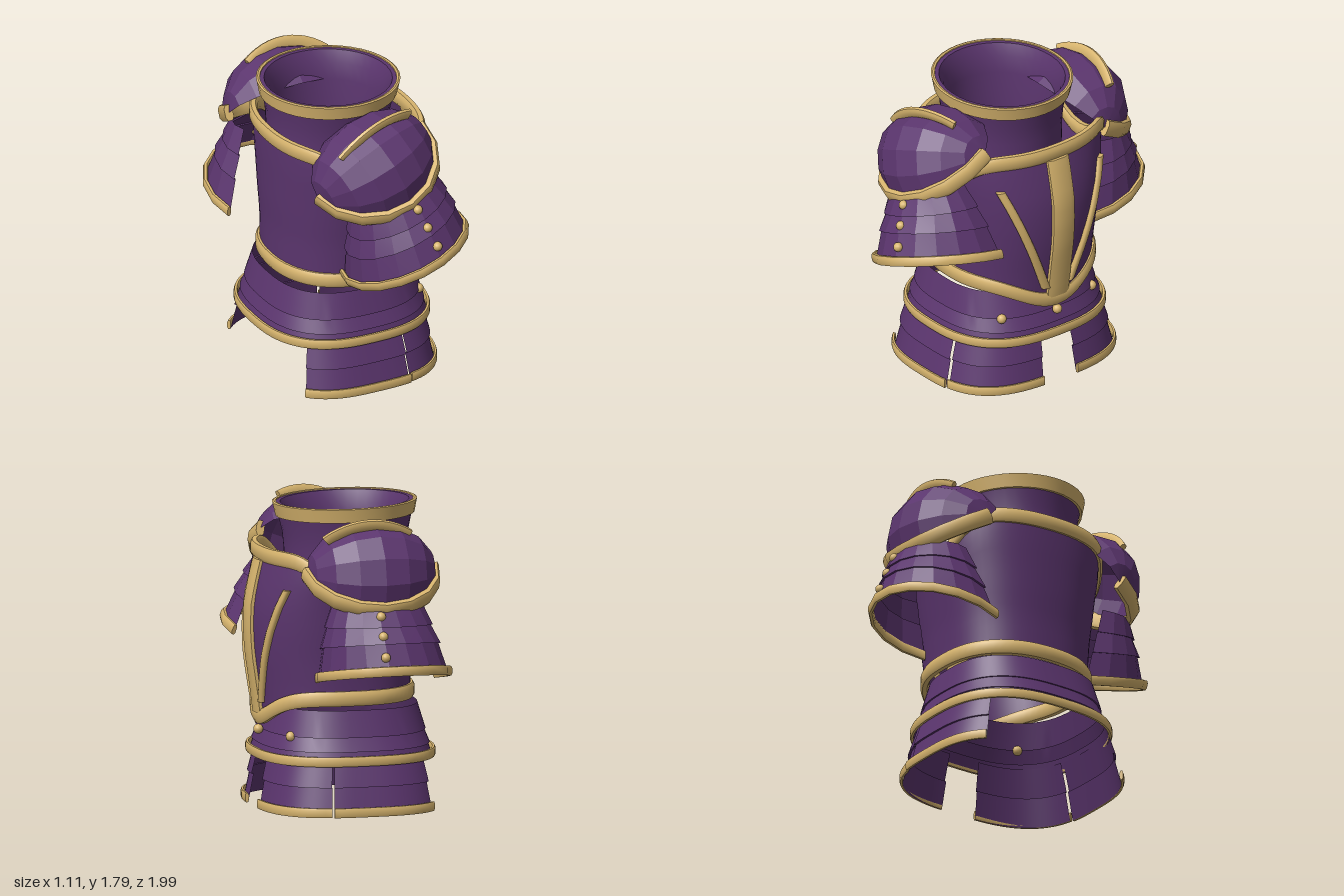
import * as THREE from 'three';
import { toCreasedNormals } from 'three/addons/utils/BufferGeometryUtils.js';

const { sin, cos, PI, abs, sign, min, max, asin } = Math;
const V = (x, y, z) => new THREE.Vector3(x, y, z);
const rad = THREE.MathUtils.degToRad;
const soft = (v, e) => sign(v) * abs(v) ** e;

export function createModel() {
  const purple = new THREE.MeshStandardMaterial({ color: 0x5b356e, side: THREE.DoubleSide });
  purple.name = 'purple plate';
  const gold = new THREE.MeshStandardMaterial({ color: 0xd8b56e, side: THREE.DoubleSide });
  gold.name = 'gold trim';
  const root = new THREE.Group();
  root.name = 'armour';

  const add = (parent, name, geometry, material) => {
    const mesh = new THREE.Mesh(geometry, material);
    mesh.name = name;
    parent.add(mesh);
    return mesh;
  };

  // Surface over an nu x nv grid, f(i, j) gives each corner
  function grid(f, nu, nv, crease = 0.6) {
    const pos = [], index = [];
    for (let i = 0; i <= nu; i++) for (let j = 0; j <= nv; j++) pos.push(...f(i, j).toArray());
    for (let i = 0; i < nu; i++) for (let j = 0; j < nv; j++) {
      const a = i * (nv + 1) + j, b = a + nv + 1;
      index.push(a, a + 1, b, b, a + 1, b + 1);
    }
    const g = new THREE.BufferGeometry();
    g.setAttribute('position', new THREE.Float32BufferAttribute(pos, 3));
    g.setIndex(index);
    return toCreasedNormals(g, crease);
  }

  // Rounded bar swept along path(t), with half sizes hn along normal(t) and hu along up
  function band(path, normal, up, hn, hu, seg, closed = false) {
    const n = closed ? seg : seg + 2;
    return grid((i, j) => {
      const t = closed ? i / seg : min(1, max(0, (i - 1) / seg));
      const p = path(t);
      if (!closed && (i === 0 || i === n)) return p;
      const a = (j % 8) / 8 * 2 * PI + PI / 8;
      return p.addScaledVector(normal(t), hn * soft(cos(a), 0.7)).addScaledVector(up, hu * soft(sin(a), 0.7));
    }, n, 8, 0.9);
  }

  // Point on an oval ring; row = [y, a, b, centre x, tilt, centre z], s = side of z, e < 1 squares it off
  const ring = ([y, a, b, cx = 0, tilt = 0, cz = 0], th, s, e) =>
    V(cx + a * soft(cos(th), e), y + tilt * sin(th), s * (cz + b * soft(sin(th), e)));
  const shell = (rows, from, to, seg, s = 1, e = 1, crease = 0.3) =>
    grid((i, j) => ring(rows[j], from + (to - from) * i / seg, s, e), seg, rows.length - 1, crease);
  const ringBand = (row, from, to, seg, hn, hu, s = 1, e = 1, closed = false) => {
    const at = t => from + (to - from) * t;
    return band(t => ring(row, at(t), s, e), t => V(cos(at(t)), 0, s * sin(at(t))),
      V(0, 1, 0), hn, hu, seg, closed);
  };
  const rivets = (parent, points, r) => points.forEach(p =>
    add(parent, 'rivet', new THREE.SphereGeometry(r, 12, 8), gold).position.set(...p));

  // Collar with a flared gold rim, leaning slightly forward
  const collar = new THREE.Group();
  collar.name = 'collar';
  collar.position.x = -0.092;
  collar.rotation.z = -0.024;
  root.add(collar);
  const lathe = pts => toCreasedNormals(
    new THREE.LatheGeometry(pts.map(p => new THREE.Vector2(...p)), 40), 0.6).scale(1, 1, 0.965);
  add(collar, 'collarTube', lathe([[0.33, 1.3], [0.36, 1.3], [0.36, 1.5], [0.368, 1.6], [0.39, 1.7],
    [0.405, 1.772], [0.375, 1.772], [0.345, 1.7], [0.33, 1.6], [0.33, 1.3]]), purple);
  add(collar, 'collarRim', lathe([[0.39, 1.695], [0.405, 1.695], [0.422, 1.775], [0.412, 1.78],
    [0.4, 1.778], [0.385, 1.7]]), gold);

  // Cuirass: rows of [y, back x, front x, half width]
  const sections = [[0.5, -0.42, 0.46, 0.45], [0.7, -0.42, 0.485, 0.45], [0.9, -0.42, 0.515, 0.465],
    [1.05, -0.43, 0.525, 0.485], [1.2, -0.435, 0.52, 0.505], [1.35, -0.44, 0.49, 0.53], [1.55, -0.44, 0.44, 0.535]];
  const section = y => {
    const k = max(0, min(sections.length - 2, sections.findIndex(r => r[0] > y) - 1));
    const [p, q] = [sections[k], sections[k + 1]];
    return p.map((v, i) => v + (q[i] - v) * (y - p[0]) / (q[0] - p[0]));
  };
  const chest = (th, y) => {
    const [, back, front, b] = section(y), c = cos(th), cx = 0.03;
    return V(c > 0 ? cx + (front - cx) * c ** 0.85 : cx - (cx - back) * abs(c) ** 0.8, y, b * soft(sin(th), 0.9));
  };
  const side = th => abs(sin(th)) ** 0.9;
  const topY = th => 1.492 - 0.008 * cos(th) - 0.22 * side(th) ** 10;
  const hemY = th => cos(th) < 0 ? 0.675 : 0.675 - 0.075 * (1 + cos(PI * side(th)));
  add(root, 'cuirass', grid((i, j) => {
    const th = i / 64 * 2 * PI;
    return chest(th, hemY(th) + (topY(th) - hemY(th)) * j / 12);
  }, 64, 12), purple);
  const out = t => V(cos(t * 2 * PI), 0, sin(t * 2 * PI));
  for (const [name, edge] of [['neckTrim', topY], ['waistTrim', hemY]])
    add(root, name, band(t => chest(t * 2 * PI, edge(t * 2 * PI)), out, V(0, 1, 0), 0.026, 0.046, 64, true), gold);

  // Breast strips
  add(root, 'centreStrip', band(t => chest(0, 0.55 + 0.9 * t), () => V(1, 0, 0),
    V(0, 0, 1), 0.028, 0.08, 14), gold);
  for (const s of [1, -1])
    add(root, 'slantStrip', band(t => {
      const y = 0.62 + 0.69 * t, z = 0.085 + 0.275 * t;
      return chest(s * asin((z / section(y)[3]) ** (1 / 0.9)), y);
    }, () => V(0.85, 0, s * 0.5), V(-0.4, 0, s * 0.85), 0.026, 0.03, 14), gold);

  // Layered waist skirt, squared off in plan
  const cx = -0.025;
  add(root, 'skirt', shell([[0.605, 0.425, 0.455, cx], [0.45, 0.472, 0.495, cx], [0.45, 0.462, 0.485, cx],
    [0.37, 0.495, 0.52, cx], [0.37, 0.485, 0.51, cx], [0.29, 0.51, 0.535, cx]], 0, 2 * PI, 64, 1, 0.77), purple);
  add(root, 'skirtTrim', ringBand([0.318, 0.517, 0.542, cx], 0, 2 * PI, 64, 0.013, 0.03, 1, 0.77, true), gold);
  rivets(root, [[0.47, 0.45, 0], [0.37, 0.45, 0.33], [0.37, 0.45, -0.33]], 0.029);

  // Hanging thigh plates, open at the front and back
  for (const s of [1, -1]) for (const [from, to, o] of [[5.4, 74.5, 0], [76, 134.5, 0.008]]) {
    const [a, b] = [rad(from), rad(to)];
    add(root, 'thighPlate', shell([[0.34, 0.465 + o, 0.505 + o, cx], [0.17, 0.505 + o, 0.56 + o, cx],
      [0.17, 0.492 + o, 0.547 + o, cx], [0.002, 0.523 + o, 0.59 + o, cx]], a, b, 16, s, 0.68), purple);
    add(root, 'thighTrim', ringBand([0.029, 0.529 + o, 0.599 + o, cx], a, b, 16, 0.011, 0.029, s, 0.68), gold);
  }

  // Shoulder and upper arm guard on side s
  function arm(s, shiftX, yaw) {
    const g = new THREE.Group();
    g.name = s > 0 ? 'leftArmGuard' : 'rightArmGuard';
    root.add(g);

    // Sleeve of three overlapping plates
    const a0 = rad(-22), a1 = rad(202);
    add(g, 'sleeve', shell([[1.25, 0.27, 0.21, -0.07, 0, 0.615], [1.12, 0.32, 0.28, -0.08, 0.03, 0.603],
      [1.12, 0.307, 0.267, -0.08, 0.03, 0.603], [1.0, 0.352, 0.338, -0.095, 0.06, 0.592],
      [1.0, 0.338, 0.324, -0.095, 0.06, 0.592], [0.805, 0.38, 0.405, -0.118, 0.08, 0.58]],
      a0, a1, 11, s, 1, 0.2), purple);
    add(g, 'sleeveTrim', ringBand([0.83, 0.383, 0.408, -0.118, 0.08, 0.58], a0, a1, 11, 0.015, 0.03, s), gold);
    rivets(g, [[-0.03, 1.21, s * 0.84], [-0.03, 1.1, s * 0.89], [-0.03, 0.985, s * 0.94]], 0.028);

    // Pauldron dome: swept from the outer rim over to the neck side, pole to pole along x
    const pauldron = new THREE.Group();
    pauldron.name = 'shoulderGuard';
    pauldron.position.set(shiftX - 0.068, 1.42 + shiftX / 2, s * 0.47);
    pauldron.rotation.y = yaw;
    g.add(pauldron);
    const sweep = [[-30, 0.38], [-5, 0.365], [20, 0.35], [45, 0.335], [70, 0.305], [100, 0.285], [135, 0.27]];
    const dome = (ph, deg, r) => {
      const q = r * max(0, sin(ph)), d = rad(deg);
      return V(-0.385 * cos(ph), q * sin(d), s * q * cos(d));
    };
    add(pauldron, 'dome', grid((i, j) => dome(i / 8 * PI, ...sweep[j]), 8, sweep.length - 1, 0.25), purple);
    const radial = (t, deg) => V(-cos(t), sin(t) * sin(rad(deg)), s * sin(t) * cos(rad(deg)));
    const across = deg => V(0, cos(rad(deg)), -s * sin(rad(deg)));
    add(pauldron, 'domeTrim', band(t => dome(t * PI, -28, 0.382), t => radial(t * PI, -28),
      across(-28), 0.028, 0.05, 8), gold);

    // Raised crest over the dome
    const ph = t => 0.93 + 1.4 * t;
    add(pauldron, 'crest', band(t => dome(ph(t), 63, 0.315 + 0.015 * sin(t * PI)).add(V(0.03, 0, 0)),
      t => radial(ph(t), 68), across(63), 0.034, 0.018, 12), gold);
    return g;
  }
  arm(-1, 0, 0);
  const raised = arm(1, -0.022, 0.12);
  raised.rotation.z = rad(20);
  raised.position.set(0.542, 0.133, 0);

  return root;
}
